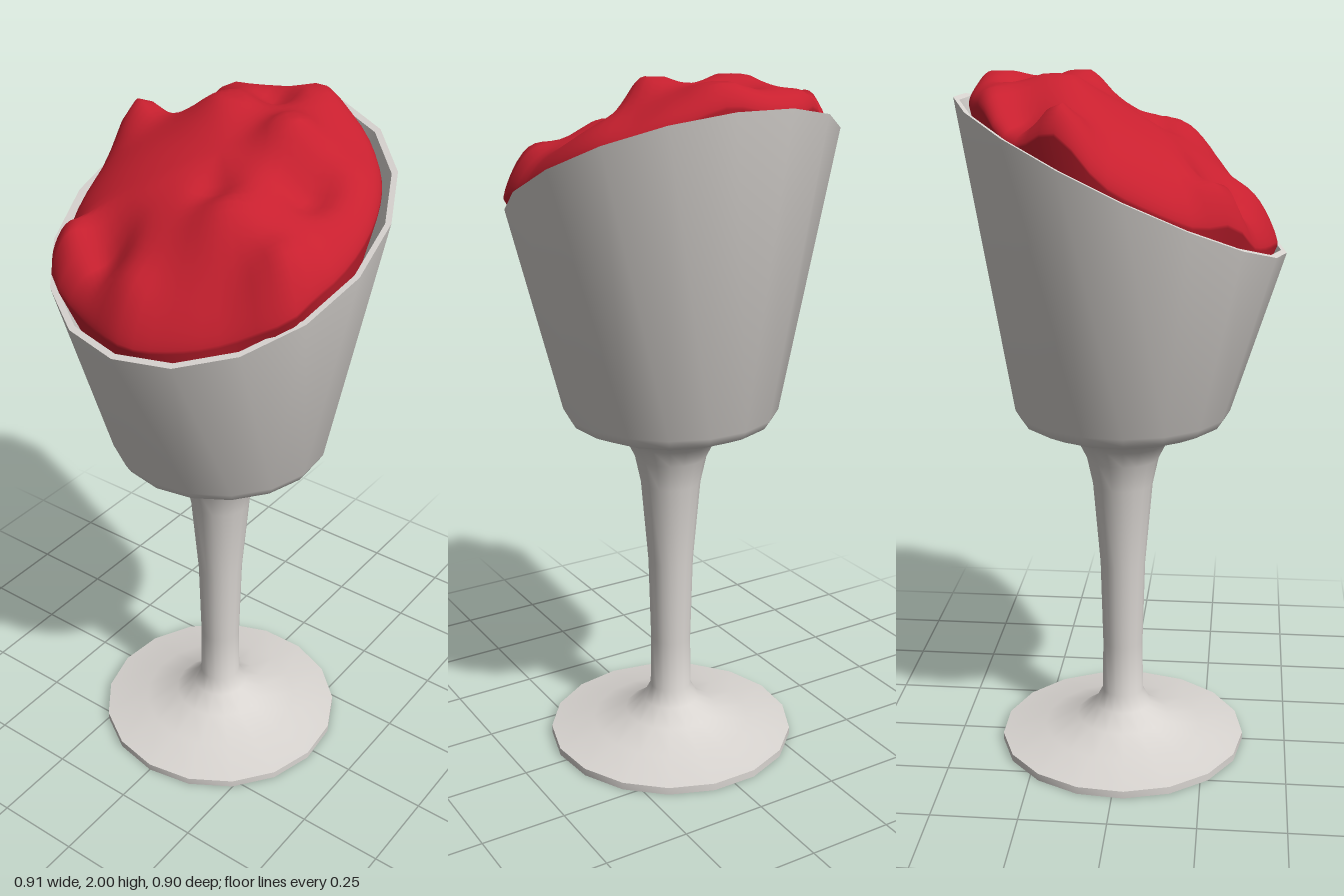
import * as THREE from 'three';
import { toCreasedNormals } from 'three/addons/utils/BufferGeometryUtils.js';

const SLOPE = 0.465; // tilt of the rim: high at the back, low at the front
const rimHeight = (z) => 1.73 - SLOPE * z;

// Lathed goblet; profile points from index rimStart on are sheared to the tilted rim.
function gobletGeometry() {
  const profile = [
    [0, 0], [0.37, 0], [0.37, 0.022], [0.24, 0.044], [0.14, 0.075], [0.085, 0.115],
    [0.062, 0.16], [0.06, 0.32], [0.067, 0.58], [0.088, 0.83], [0.105, 0.91],
    [0.13, 0.96], [0.17, 0.99], [0.24, 1.01], [0.295, 1.035], [0.31, 1.06],
    [0.456, 1.73], [0.44, 1.73], [0.415, 1.64], [0.28, 1.09], [0, 1.07],
  ].map(([r, y]) => new THREE.Vector2(r, y));
  const geo = new THREE.LatheGeometry(profile, 17);
  const p = geo.attributes.position;
  for (let i = 0; i < p.count; i++) {
    if (p.getY(i) > 1.5) p.setY(i, p.getY(i) - SLOPE * p.getZ(i));
  }
  return toCreasedNormals(geo, 0.75);
}

// Lumpy heap: a tilted dome raised and dented by soft bumps.
function heapGeometry() {
  // x, z, height, spread
  const bumps = [
    [-0.38, -0.12, 0.09, 0.075], [-0.22, -0.34, 0.03, 0.06], [0.07, -0.36, 0.035, 0.07],
    [-0.1, -0.14, 0.04, 0.09], [0.14, -0.11, 0.06, 0.07], [0.25, -0.03, -0.06, 0.07],
    [0.14, 0.18, 0.05, 0.09], [0.34, 0.2, 0.07, 0.08], [0.05, 0.09, -0.03, 0.06],
    [-0.29, 0.29, 0.07, 0.06], [-0.15, 0.27, -0.06, 0.06], [-0.02, 0.37, 0.03, 0.06],
    [-0.27, -0.22, -0.05, 0.07], [-0.02, -0.27, -0.04, 0.06], [0.26, -0.25, -0.02, 0.08],
  ];
  // angle from the front towards +x, amount the edge swells outward
  const swells = [[1.02, 0.045], [-0.75, 0.035], [0, 0.015], [-1.88, 0.015]];
  const rings = 22, sides = 60;
  const pos = [0, 0, 0], index = [];
  for (let i = 1; i <= rings + 1; i++) {
    const skirt = i > rings;
    const t = skirt ? 1 : Math.sin((i / rings) * Math.PI / 2);
    for (let j = 0; j < sides; j++) {
      const a = (j / sides) * Math.PI * 2;
      let edge = 0.415;
      for (const [angle, amount] of swells) {
        const d = Math.atan2(Math.sin(a - angle), Math.cos(a - angle));
        edge += amount * Math.exp(-((d / 0.2) ** 2));
      }
      const r = skirt ? 0.385 : edge * t;
      pos.push(r * Math.sin(a), skirt ? -0.12 : 0.19 * (1 - t * t) ** 0.6, r * Math.cos(a));
      const k = (j + 1) % sides, row = 1 + (i - 1) * sides, prev = row - sides;
      if (i === 1) index.push(0, row + j, row + k);
      else index.push(prev + j, row + j, row + k, prev + j, row + k, prev + k);
    }
  }
  pos[1] = 0.19;
  for (let i = 0; i < pos.length; i += 3) {
    const x = pos[i], z = pos[i + 2];
    let y = pos[i + 1] + rimHeight(z);
    if (pos[i + 1] > -0.1) {
      for (const [bx, bz, h, s] of bumps) {
        y += h * Math.exp(-((x - bx) ** 2 + (z - bz) ** 2) / (s * s));
      }
    }
    pos[i + 1] = Math.min(y, 2);
  }
  const geo = new THREE.BufferGeometry();
  geo.setAttribute('position', new THREE.Float32BufferAttribute(pos, 3));
  geo.setIndex(index);
  geo.computeVertexNormals();
  return geo;
}

export function createModel() {
  const porcelain = new THREE.MeshStandardMaterial({ color: 0xd9d5d1 });
  porcelain.name = 'pale grey';
  const red = new THREE.MeshStandardMaterial({ color: 0xc8202f });
  red.name = 'deep red';

  const goblet = new THREE.Mesh(gobletGeometry(), porcelain);
  goblet.name = 'goblet';
  const filling = new THREE.Mesh(heapGeometry(), red);
  filling.name = 'filling';

  const model = new THREE.Group();
  model.name = 'filledGoblet';
  model.add(goblet, filling);
  return model;
}
